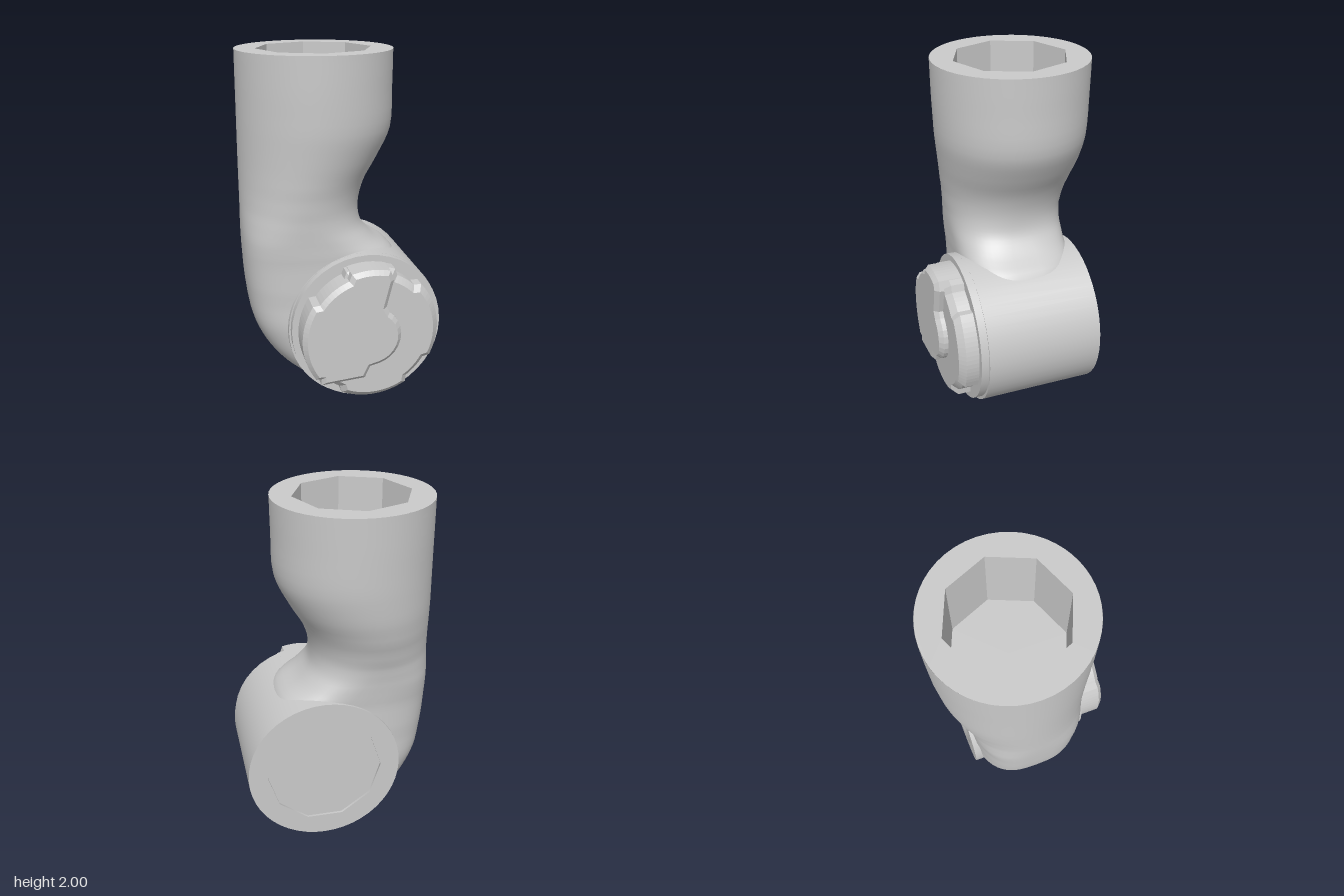
import * as THREE from 'three';

const CX = 0.11, CY = 0.45; // axis of the lower joint

export function createModel() {
  const group = new THREE.Group();
  const grey = new THREE.MeshStandardMaterial({ color: 0xcacaca, side: THREE.DoubleSide });
  grey.name = 'grey';
  const add = (name, geometry, x = 0, y = 0, z = 0) => {
    const mesh = new THREE.Mesh(geometry, grey);
    mesh.name = name;
    mesh.position.set(x, y, z);
    group.add(mesh);
    return mesh;
  };
  const circlePoints = (r, n) => Array.from({ length: n }, (_, i) => {
    const a = (i / n) * Math.PI * 2;
    return new THREE.Vector2(r * Math.cos(a), r * Math.sin(a));
  });
  const annulus = (r, n, hole, sides) => {
    const shape = new THREE.Shape(circlePoints(r, n));
    shape.holes.push(new THREE.Path(circlePoints(hole, sides)));
    return new THREE.ShapeGeometry(shape);
  };

  // Bent arm: rounded sections between an inner and an outer outline
  // [inner x, inner y, outer x, outer y, z centre, z half width, roundness]
  const sections = [
    [0.335, 2.0, -0.555, 2.0, -0.063, 0.447, 2],
    [0.333, 1.8, -0.555, 1.8, -0.062, 0.443, 2],
    [0.324, 1.56, -0.555, 1.6, -0.062, 0.435, 2],
    [0.25, 1.4, -0.555, 1.4, -0.063, 0.413, 2],
    [0.17, 1.26, -0.555, 1.26, -0.055, 0.386, 2],
    [0.133, 1.13, -0.555, 1.13, -0.042, 0.358, 2.1],
    [0.142, 1.02, -0.555, 1.03, -0.034, 0.342, 2.4],
    [0.21, 0.93, -0.553, 0.94, -0.031, 0.334, 2.8],
    [0.34, 0.83, -0.548, 0.82, -0.028, 0.326, 3],
    [0.38, 0.64, -0.535, 0.64, -0.028, 0.325, 3],
    [0.36, 0.52, -0.5, 0.44, -0.028, 0.325, 3],
    [0.33, 0.54, -0.42, 0.28, -0.028, 0.325, 3],
    [0.28, 0.6, -0.3, 0.15, -0.028, 0.325, 3.2],
    [0.2, 0.67, -0.15, 0.06, -0.028, 0.325, 3.8],
    [0.16, 0.7, -0.02, 0.02, -0.028, 0.325, 4.5],
    [0.12, 0.7, 0.11, 0.006, -0.028, 0.325, 5],
  ];
  const curve = (pick) => new THREE.CatmullRomCurve3(sections.map(pick));
  const inner = curve((s) => new THREE.Vector3(s[0], s[1], 0));
  const outer = curve((s) => new THREE.Vector3(s[2], s[3], 0));
  const width = curve((s) => new THREE.Vector3(s[4], s[5], s[6]));
  const rows = 60, around = 56, positions = [], index = [];
  for (let i = 0; i <= rows; i++) {
    const p = inner.getPoint(i / rows), q = outer.getPoint(i / rows), w = width.getPoint(i / rows);
    for (let j = 0; j < around; j++) {
      const a = (j / around) * Math.PI * 2;
      const power = (v) => Math.sign(v) * Math.abs(v) ** (2 / w.z);
      const c = p.clone().lerp(q, (1 - power(Math.cos(a))) / 2);
      positions.push(c.x, c.y, w.x + w.y * power(Math.sin(a)));
      if (i < rows) {
        const k = (j + 1) % around, r = i * around, s = r + around;
        index.push(r + j, r + k, s + j, r + k, s + k, s + j);
      }
    }
  }
  const arm = new THREE.BufferGeometry();
  arm.setAttribute('position', new THREE.Float32BufferAttribute(positions, 3));
  arm.setIndex(index);
  arm.computeVertexNormals();
  add('bentArm', arm);

  // Eight-sided socket in the top of the arm
  add('topRim', annulus(0.446, 48, 0.33, 8), -0.11, 2, -0.063).rotation.x = -Math.PI / 2;
  const bore = new THREE.CylinderGeometry(0.33, 0.33, 0.5, 8, 1, true).toNonIndexed();
  bore.computeVertexNormals();
  add('topSocketWall', bore, -0.11, 1.75, -0.063);
  add('topSocketFloor', new THREE.CircleGeometry(0.33, 8), -0.11, 1.5, -0.063).rotation.x = -Math.PI / 2;

  // Lower joint housing with a shallow recess at the back
  const housing = new THREE.CylinderGeometry(0.445, 0.445, 0.675, 48, 1, true).rotateX(Math.PI / 2);
  add('jointHousing', housing, CX, CY, -0.0325);
  add('housingFront', new THREE.CircleGeometry(0.445, 48), CX, CY, 0.305);
  add('backRim', annulus(0.445, 48, 0.335, 10), CX, CY, -0.37).rotation.y = Math.PI;
  const recess = new THREE.CylinderGeometry(0.335, 0.335, 0.014, 10, 1, true);
  recess.rotateY(Math.PI / 2).rotateX(Math.PI / 2);
  add('backRecessWall', recess, CX, CY, -0.363);
  add('backRecessFloor', new THREE.CircleGeometry(0.34, 10), CX, CY, -0.356).rotation.y = Math.PI;

  // Stepped collar in front of the housing
  add('collar', new THREE.CylinderGeometry(0.435, 0.435, 0.05, 40).rotateX(Math.PI / 2), CX, 0.46, 0.325);

  // Lugged cap: the radius steps out over four arcs
  const lugs = [[-25, 40], [72, 108], [150, 215], [247, 302]];
  const rim = (deg, r) => {
    const on = lugs.some(([a, b]) => [deg, deg - 360].some((d) => d >= a && d <= b));
    const radius = on ? r : r - 0.03, t = THREE.MathUtils.degToRad(deg);
    return new THREE.Vector2(radius * Math.cos(t), radius * Math.sin(t));
  };
  const arc = (from, to, r) => {
    const points = [];
    for (let d = from; d < to; d += 4) points.push(rim(d, r));
    return points;
  };
  const plate = (points, depth, bevel) => new THREE.ExtrudeGeometry(new THREE.Shape(points), {
    depth, bevelEnabled: true, bevelSize: bevel, bevelThickness: bevel, bevelSegments: 1,
  });
  // The rear bevels are sunk into the collar and housing
  add('luggedCap', plate(arc(0, 360, 0.361), 0.1, 0.035), CX, 0.46, 0.325);

  // Raised part of the cap with a rounded nose
  const nose = [];
  for (let d = -75; d <= 55; d += 13) {
    const t = THREE.MathUtils.degToRad(d);
    nose.push(new THREE.Vector2(-0.01 + 0.15 * Math.cos(t), 0.15 * Math.sin(t)));
  }
  const raised = [
    ...arc(78, 222, 0.373),
    new THREE.Vector2(-0.27, -0.245), new THREE.Vector2(-0.06, -0.225), new THREE.Vector2(-0.03, -0.16),
    ...nose,
    new THREE.Vector2(0.05, 0.17), new THREE.Vector2(0.09, 0.33),
  ];
  add('raisedCap', plate(raised, 0.15, 0.025), CX, 0.46, 0.335);

  return group;
}
